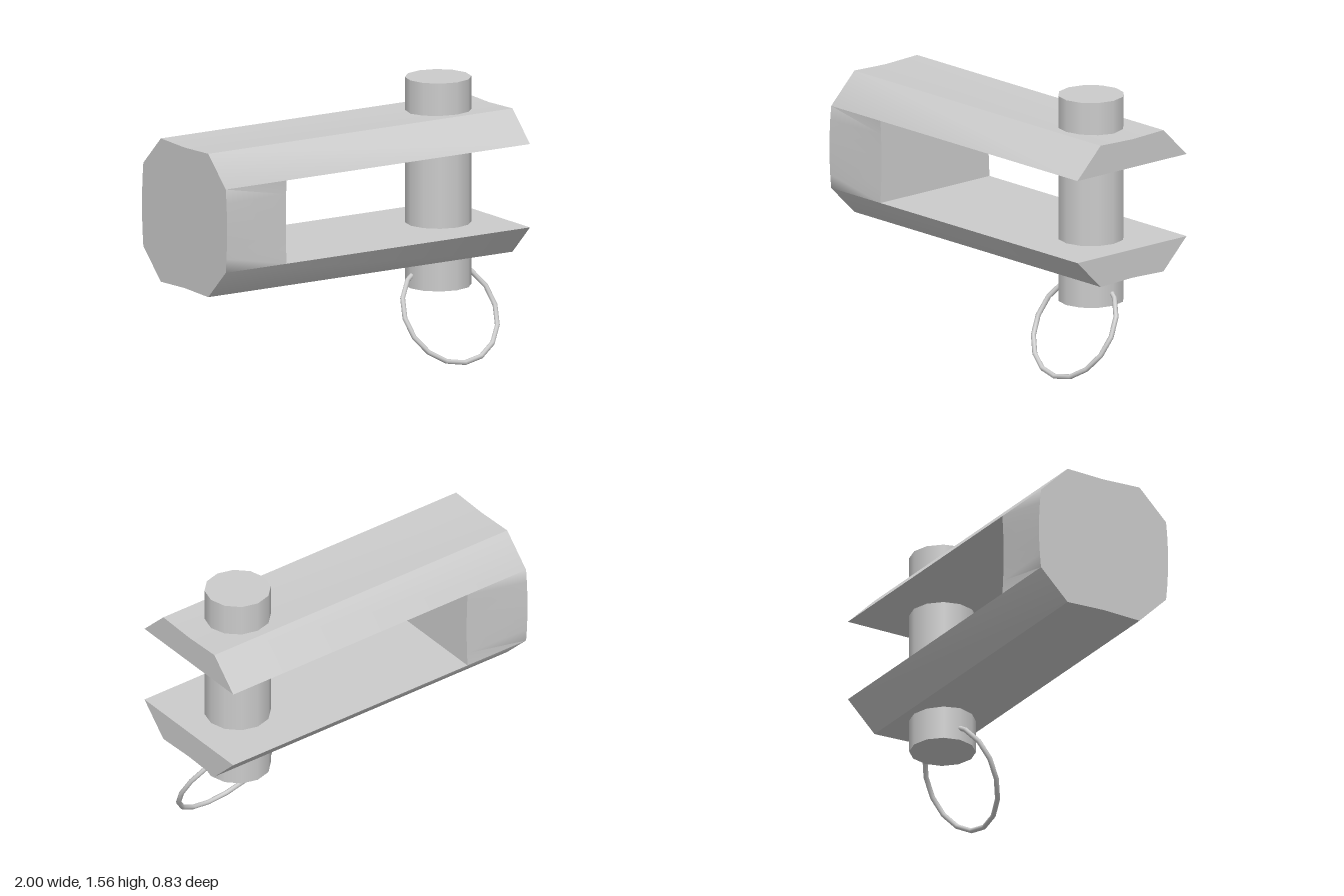
import * as THREE from 'three';
import { mergeGeometries, toCreasedNormals } from 'three/addons/utils/BufferGeometryUtils.js';

const MID_Y = 0.9875; // height of the fork's centre line

// Capped solid between two [z, y] cross-sections at xA < xB
function loft(ringA, xA, ringB, xB) {
  const toV = (r) => r.map(([z, y]) => new THREE.Vector2(-z, y));
  const a = toV(ringA), b = toV(ringB);
  if (THREE.ShapeUtils.isClockWise(a)) { a.reverse(); b.reverse(); }
  const pos = [];
  const put = (p, x) => pos.push(x, p.y, -p.x);
  a.forEach((p, i) => {
    const j = (i + 1) % a.length;
    put(a[i], xA); put(a[j], xA); put(b[j], xB);
    put(a[i], xA); put(b[j], xB); put(b[i], xB);
  });
  for (const f of THREE.ShapeUtils.triangulateShape(b, [])) f.forEach((k) => put(b[k], xB));
  for (const f of THREE.ShapeUtils.triangulateShape(a, [])) [...f].reverse().forEach((k) => put(a[k], xA));
  const geo = new THREE.BufferGeometry();
  geo.setAttribute('position', new THREE.Float32BufferAttribute(pos, 3));
  return geo;
}

// Rear block section: flat top and bottom, sides bowed by the given amount
function blockRing(bow) {
  const ring = [], n = 6, half = 0.2325;
  for (const side of [1, -1]) {
    for (let i = 0; i <= n; i++) {
      const t = (i / n) * 2 - 1;
      ring.push([side * (0.4 + bow * (1 - t * t)), MID_Y + side * t * half]);
    }
  }
  return ring;
}

export function createModel() {
  const model = new THREE.Group();
  const material = new THREE.MeshStandardMaterial({ color: 0xcccccc });
  const add = (name, geo) => {
    const mesh = new THREE.Mesh(geo, material);
    mesh.name = name;
    model.add(mesh);
    return mesh;
  };

  // Fork: two chamfered arms, mirrored, joined by the rear block
  const arm = [[0.4, 0.2325], [0.23, 0.4], [0, 0.392], [-0.23, 0.4], [-0.4, 0.2325]];
  const arms = [1, -1].map((s) => {
    const ring = arm.map(([z, y]) => [z, MID_Y + s * y]);
    return loft(ring, -1, ring, 1);
  });
  const block = loft(blockRing(0.013), -1, blockRing(-0.008), -0.6);
  add('fork', toCreasedNormals(mergeGeometries([...arms, block]), 0.75));

  // Pin through both arms
  const pin = add('pin', new THREE.CylinderGeometry(0.182, 0.182, 1.16, 12));
  pin.position.set(0.667, 0.985, 0);

  // Retaining ring hanging through the pin's lower end
  const ring = add('retainingRing', new THREE.TorusGeometry(0.296, 0.014, 8, 16));
  ring.position.set(0.665, 0.275, 0.118);
  ring.rotation.x = -0.515;

  return model;
}
